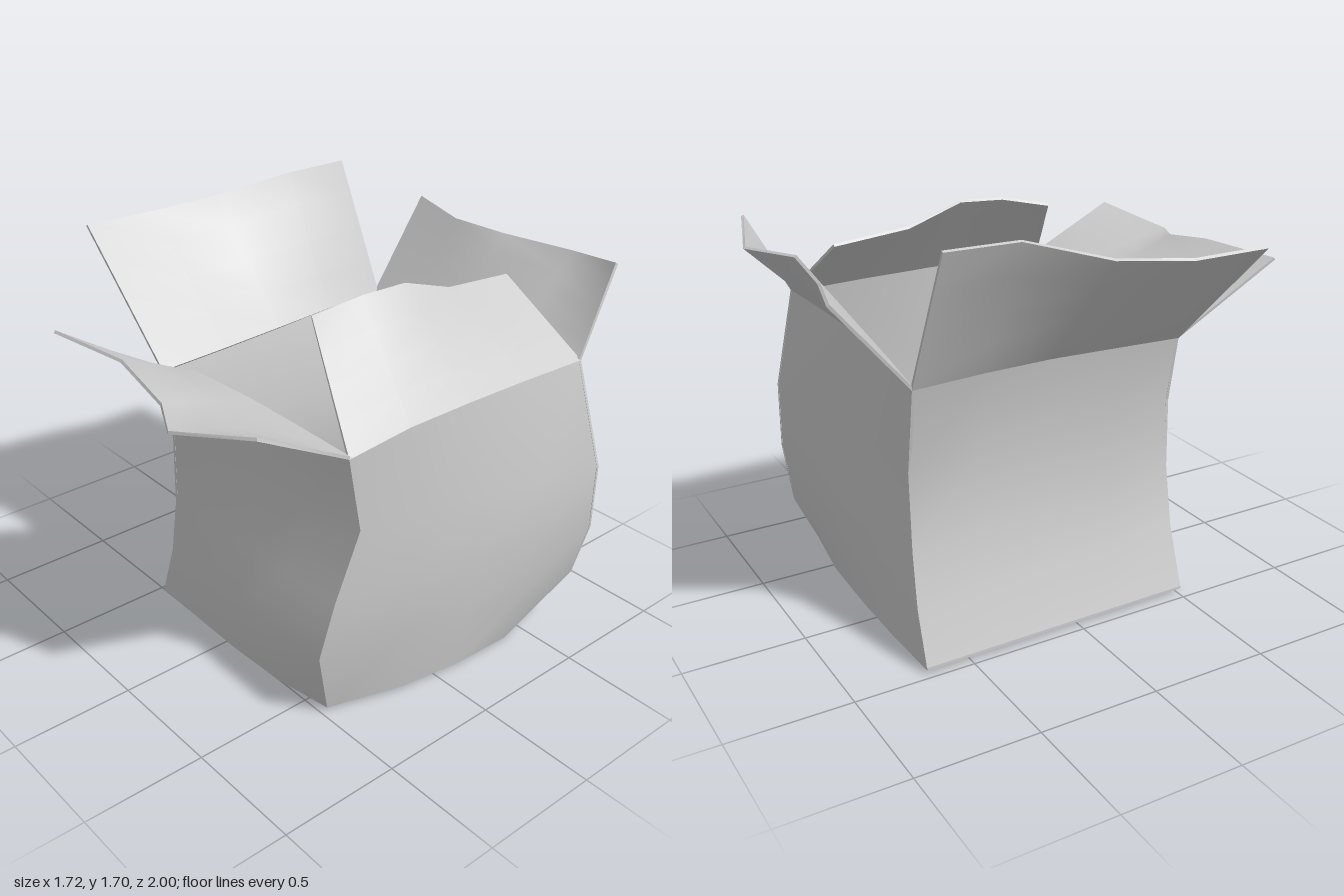
import * as THREE from 'three';
import { mergeGeometries } from 'three/addons/utils/BufferGeometryUtils.js';

const N = 4; // segments along every panel side
const THICK = 0.012;
const material = new THREE.MeshStandardMaterial({ color: 0xcccccc });

const curve = (...pts) => pts.map((p) => new THREE.Vector3(...p));
const reversed = (c) => [...c].reverse();
const straight = (a, b) => Array.from({ length: N + 1 }, (_, i) => a.clone().lerp(b, i / N));
// How far a curve bows away from its chord at point i
const bow = (c, i) => c[i].clone().sub(c[0].clone().lerp(c[N], i / N));

// Warped card panel spanned by four edge curves, thickened inward
function panel(name, bottom, top, left, right, fade = 1) {
  const outer = new THREE.PlaneGeometry(1, 1, N, N);
  const pos = outer.attributes.position;
  const id = (i, j) => (N - j) * (N + 1) + i;
  for (let j = 0; j <= N; j++) {
    for (let i = 0; i <= N; i++) {
      const u = i / N, v = j / N;
      const p = left[j].clone().lerp(right[j], u)
        .addScaledVector(bow(bottom, i), (1 - v) ** fade)
        .addScaledVector(bow(top, i), v ** fade);
      pos.setXYZ(id(i, j), p.x, p.y, p.z);
    }
  }
  outer.computeVertexNormals();

  // Inner skin
  const inner = outer.clone();
  const nor = outer.attributes.normal;
  for (let k = 0; k < pos.count; k++) {
    inner.attributes.position.setXYZ(k,
      pos.getX(k) - nor.getX(k) * THICK,
      Math.max(0, pos.getY(k) - nor.getY(k) * THICK),
      pos.getZ(k) - nor.getZ(k) * THICK);
  }
  inner.setIndex(Array.from(outer.index.array).reverse());
  inner.computeVertexNormals();

  // Cut edge all round
  const loop = [];
  for (let k = 0; k < N; k++) loop.push(id(k, 0));
  for (let k = 0; k < N; k++) loop.push(id(N, k));
  for (let k = N; k > 0; k--) loop.push(id(k, N));
  for (let k = N; k > 0; k--) loop.push(id(0, k));
  const at = (g, k) => new THREE.Vector3().fromBufferAttribute(g.attributes.position, k);
  const rimPoints = [];
  loop.forEach((a, k) => {
    const b = loop[(k + 1) % loop.length];
    const [oa, ob, ia, ib] = [at(outer, a), at(outer, b), at(inner, a), at(inner, b)];
    rimPoints.push(oa, ia, ib, oa, ib, ob);
  });
  const rim = new THREE.BufferGeometry().setFromPoints(rimPoints);
  rim.computeVertexNormals();

  const skins = [outer, inner].map((g) => g.toNonIndexed());
  skins.forEach((g) => g.deleteAttribute('uv'));
  const mesh = new THREE.Mesh(mergeGeometries([...skins, rim]), material);
  mesh.name = name;
  return mesh;
}

const flap = (name, hinge, tip) =>
  panel(name, hinge, tip, straight(hinge[0], tip[0]), straight(hinge[N], tip[N]));

export function createModel() {
  // Upright corner edges, floor to rim (positive x is the model's left)
  const frontNeg = curve([-0.46, 0, 0.515], [-0.368, 0.26, 0.515], [-0.32, 0.52, 0.515], [-0.32, 0.82, 0.51], [-0.37, 1.1, 0.51]);
  const frontPos = curve([0.605, 0, 0.475], [0.67, 0.32, 0.57], [0.705, 0.57, 0.525], [0.735, 0.86, 0.435], [0.75, 1.18, 0.505]);
  const backPos = curve([0.7, 0.03, -0.665], [0.79, 0.2, -0.735], [0.848, 0.45, -0.755], [0.855, 0.74, -0.75], [0.755, 1.19, -0.695]);
  const backNeg = curve([-0.475, 0, -0.69], [-0.405, 0.23, -0.69], [-0.355, 0.45, -0.68], [-0.32, 0.76, -0.67], [-0.41, 1.12, -0.685]);

  // Floor edges, each running left to right as seen from outside
  const frontBase = curve([-0.46, 0, 0.515], [-0.19, 0, 0.52], [0.07, 0, 0.525], [0.36, 0, 0.515], [0.605, 0, 0.475]);
  const posBase = curve([0.605, 0, 0.475], [0.7, 0, 0.17], [0.74, 0, -0.1], [0.75, 0, -0.38], [0.7, 0.03, -0.665]);
  const backBase = curve([0.7, 0.03, -0.665], [0.43, 0, -0.69], [0.1, 0, -0.7], [-0.18, 0, -0.7], [-0.475, 0, -0.69]);
  const negBase = straight(backNeg[0], frontNeg[0]);

  // Rim edges, where the flaps fold
  const frontRim = curve([-0.37, 1.1, 0.51], [-0.14, 1.175, 0.505], [0.2, 1.185, 0.5], [0.46, 1.183, 0.5], [0.75, 1.18, 0.505]);
  const posRim = curve([0.75, 1.18, 0.505], [0.75, 1.205, 0.22], [0.75, 1.205, -0.08], [0.752, 1.2, -0.38], [0.755, 1.19, -0.695]);
  const backRim = curve([0.755, 1.19, -0.695], [0.45, 1.19, -0.685], [0.15, 1.185, -0.68], [-0.17, 1.165, -0.68], [-0.41, 1.12, -0.685]);
  const negRim = curve([-0.41, 1.12, -0.685], [-0.395, 1.125, -0.38], [-0.375, 1.12, -0.09], [-0.37, 1.11, 0.2], [-0.37, 1.1, 0.51]);

  // Free edges of the flaps
  const frontTip = curve([-0.42, 1.375, 0.94], [-0.04, 1.375, 0.89], [0.25, 1.325, 0.92], [0.41, 1.31, 1], [0.74, 1.38, 0.885]);
  const posTip = curve([0.345, 1.525, 0.33], [0.39, 1.565, 0.13], [0.41, 1.57, -0.06], [0.405, 1.49, -0.3], [0.4, 1.46, -0.63]);
  const backTip = curve([0.735, 1.535, -0.89], [0.44, 1.48, -0.985], [0.15, 1.5, -0.885], [-0.15, 1.48, -0.915], [-0.45, 1.49, -1]);
  const negTip = curve([-0.65, 1.675, -0.67], [-0.66, 1.675, -0.38], [-0.79, 1.6, -0.09], [-0.85, 1.575, 0.2], [-0.86, 1.58, 0.515]);

  const box = new THREE.Group();
  box.name = 'openBox';
  box.add(
    panel('frontWall', frontBase, frontRim, frontNeg, frontPos, 2),
    panel('leftWall', posBase, posRim, frontPos, backPos, 2.5),
    panel('backWall', backBase, backRim, backPos, backNeg, 2),
    panel('rightWall', negBase, negRim, backNeg, frontNeg, 2),
    panel('floor', reversed(backBase), frontBase, negBase, reversed(posBase)),
    flap('frontFlap', frontRim, frontTip),
    flap('leftFlap', posRim, posTip),
    flap('backFlap', backRim, backTip),
    flap('rightFlap', negRim, negTip),
  );
  return box;
}
